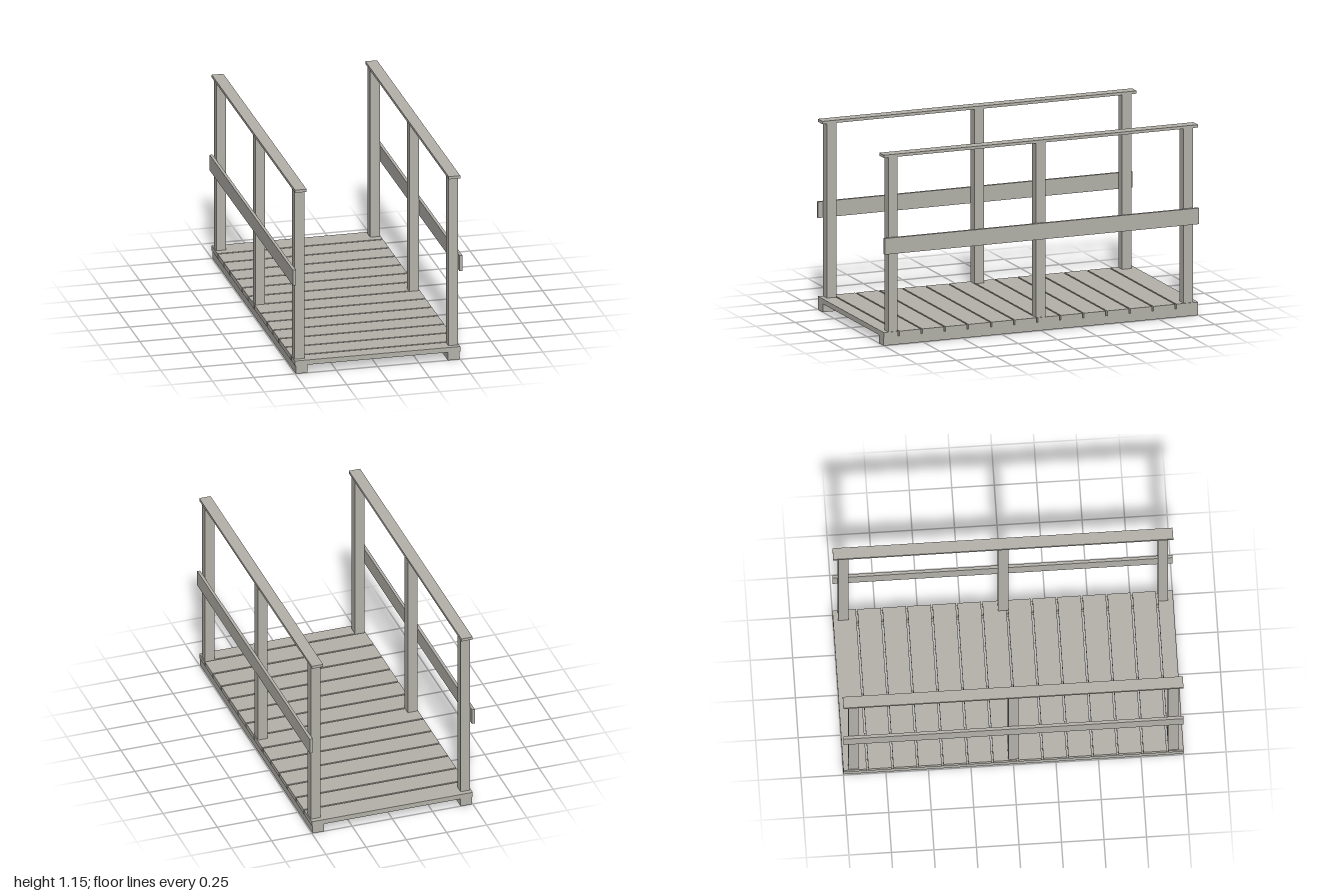
import * as THREE from 'three';

export function createModel() {
  const group = new THREE.Group();
  group.name = 'footbridge';
  const wood = new THREE.MeshStandardMaterial({ color: 0xb4b2aa });
  wood.name = 'weathered wood';

  // Box given by its minimum and maximum on each axis
  function board(name, [x0, x1], [y0, y1], [z0, z1]) {
    const mesh = new THREE.Mesh(new THREE.BoxGeometry(x1 - x0, y1 - y0, z1 - z0), wood);
    mesh.position.set((x0 + x1) / 2, (y0 + y1) / 2, (z0 + z1) / 2);
    mesh.name = name;
    group.add(mesh);
  }

  // Deck planks with narrow gaps; the last one is cut short at the front
  const pitch = 0.147, width = 0.137;
  for (let i = 0; i < 14; i++) {
    const z = -1 + i * pitch;
    board('deckPlank' + (i + 1), [-0.5, 0.5], [0.05, 0.08], [z, Math.min(z + width, 1)]);
  }

  for (const [side, s] of [['left', 1], ['right', -1]]) {
    const span = (a, b) => (s > 0 ? [a, b] : [-b, -a]);
    // Bearer under the deck, side rail and handrail
    board(side + 'Bearer', span(0.425, 0.495), [0, 0.05], [-1, 1]);
    board(side + 'SideRail', span(0.495, 0.513), [0.553, 0.65], [-1, 1]);
    board(side + 'Handrail', span(0.43, 0.5), [1.133, 1.15], [-1, 1]);
    // Posts
    [['Back', -0.94], ['Middle', 0], ['Front', 0.94]].forEach(([place, z]) =>
      board(side + place + 'Post', span(0.436, 0.495), [0.08, 1.133], [z - 0.03, z + 0.03]));
  }
  return group;
}
